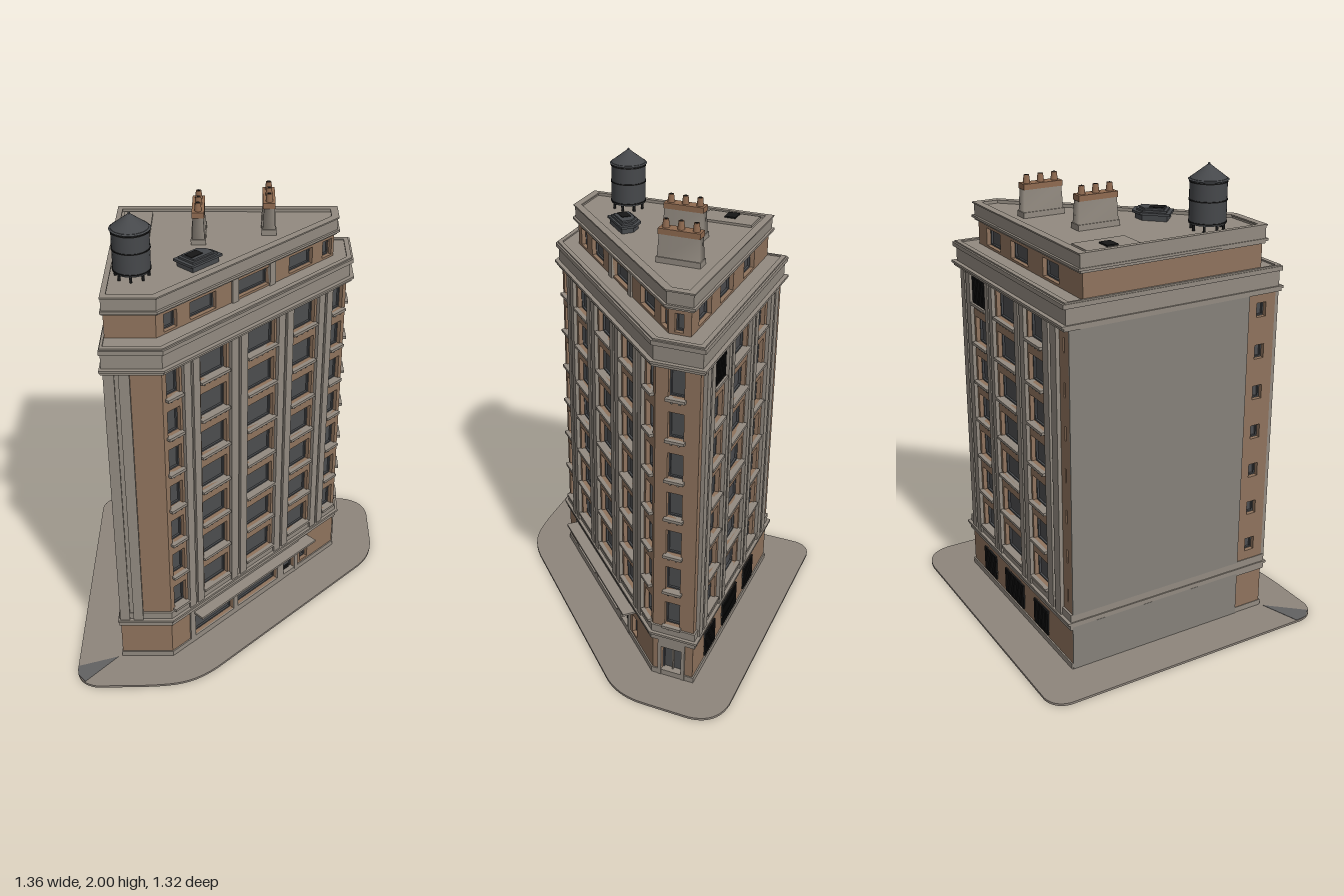
import * as THREE from 'three';

const mat = (name, color, side = THREE.FrontSide) => {
  const m = new THREE.MeshStandardMaterial({ color, side });
  m.name = name;
  return m;
};

export function createModel() {
  const M = {
    brick: mat('brick', 0x8f735d), stone: mat('stone', 0x928a80), render: mat('grey render', 0x85817a),
    paving: mat('paving', 0x8e857c), ramp: mat('ramp grey', 0x626262), glass: mat('glass', 0x4c4d4f),
    metal: mat('dark metal', 0x46484b), black: mat('black iron', 0x161616), clay: mat('clay', 0x8f6a50),
  };
  const model = new THREE.Group();
  model.name = 'cornerBuilding';

  const add = (parent, name, geo, m, x = 0, y = 0, z = 0) => {
    const mesh = new THREE.Mesh(geo, m);
    mesh.name = name;
    mesh.position.set(x, y, z);
    parent.add(mesh);
    return mesh;
  };
  const group = (parent, name) => {
    const g = new THREE.Group();
    g.name = name;
    parent.add(g);
    return g;
  };
  const box = (parent, name, m, x0, x1, y0, y1, z0, z1) =>
    add(parent, name, new THREE.BoxGeometry(x1 - x0, y1 - y0, z1 - z0), m,
      (x0 + x1) / 2, (y0 + y1) / 2, (z0 + z1) / 2);
  const rect = (C, u0, u1, y0, y1) => new C([[u0, y0], [u1, y0], [u1, y1], [u0, y1]].map(p => new THREE.Vector2(...p)));
  // Upright slab with rectangular openings, from depth z0 to z1
  const panel = (parent, name, m, [u0, u1, y0, y1], holes, z0, z1) => {
    const s = rect(THREE.Shape, u0, u1, y0, y1);
    s.holes = holes.map(h => rect(THREE.Path, ...h));
    return add(parent, name, new THREE.ExtrudeGeometry(s, { depth: z1 - z0, bevelEnabled: false }), m, 0, 0, z0);
  };
  // Horizontal slab from a plan outline (x, -z)
  const slab = (parent, name, m, shape, y0, y1) => {
    const geo = new THREE.ExtrudeGeometry(shape, { depth: y1 - y0, bevelEnabled: false, curveSegments: 10 });
    return add(parent, name, geo.rotateX(-Math.PI / 2), m, 0, y0, 0);
  };
  // Plan outline pushed outward by d; the party wall (last edge) barely moves outward
  const offset = (P, d) => new THREE.Shape(P.map((p, i) => {
    const n = P.length;
    const line = k => {
      const a = P[k % n], b = P[(k + 1) % n], l = Math.hypot(b[0] - a[0], b[1] - a[1]);
      const nx = (b[1] - a[1]) / l, ny = (a[0] - b[0]) / l;
      return [nx, ny, nx * a[0] + ny * a[1] + (k % n === n - 1 && d > 0 ? d * 0.4 : d)];
    };
    const [a, b, c] = line(i + n - 1), [e, f, g] = line(i), det = a * f - b * e;
    return new THREE.Vector2((c * f - b * g) / det, (a * g - c * e) / det);
  }));

  // Plans: front, diagonal, right, back and left edges in turn
  const MAIN = [[-0.49, -0.47], [-0.27, -0.47], [0.48, 0.29], [0.48, 0.47], [-0.49, 0.47]];
  const ATTIC = [[-0.485, -0.395], [-0.29, -0.395], [0.42, 0.315], [0.42, 0.405], [-0.485, 0.405]];
  const SIDES = ['front', 'diagonal', 'right', 'back', 'left'];
  const edge = (parent, P, i, name) => {
    const a = P[i], b = P[(i + 1) % 5], g = group(parent, name);
    g.position.set(a[0], 0, -a[1]);
    g.rotation.y = Math.atan2(b[1] - a[1], b[0] - a[0]);
    return [g, Math.hypot(b[0] - a[0], b[1] - a[1])];
  };
  const windowTrim = (g, [u0, u1, y0, y1], sill = true) => {
    const f = 0.006;
    panel(g, 'windowFrame', M.metal, [u0, u1, y0, y1], [[u0 + f, u1 - f, y0 + f, y1 - f]], -0.027, -0.018);
    if (!sill) return;
    box(g, 'windowSill', M.stone, u0 - 0.008, u1 + 0.008, y0 - 0.012, y0, -0.025, 0.018);
    const n = Math.max(2, Math.round((u1 - u0) / 0.03));
    for (let k = 0; k < n; k++) {
      const c = u0 + (u1 - u0) * (k + 0.5) / n;
      box(g, 'sillBracket', M.stone, c - 0.004, c + 0.004, y0 - 0.022, y0 - 0.012, 0, 0.011);
    }
  };
  const grille = (g, [u0, u1, y0, y1]) => {
    const n = Math.round((u1 - u0) / 0.014);
    for (let k = 0; k <= n; k++) {
      const c = u0 + (u1 - u0) * k / n;
      box(g, 'grilleBar', M.black, c - 0.003, c + 0.003, y0, y1, 0.002, 0.009);
    }
    for (const y of [y0, y1 - 0.006]) box(g, 'grilleRail', M.black, u0, u1, y, y + 0.006, 0.001, 0.008);
  };

  // Pavement with a dropped kerb
  const pave = new THREE.Shape();
  pave.moveTo(-0.68, -0.56);
  pave.quadraticCurveTo(-0.67, -0.64, -0.59, -0.655);
  pave.lineTo(-0.4, -0.652);
  pave.bezierCurveTo(-0.25, -0.645, -0.18, -0.64, -0.07, -0.54);
  pave.lineTo(0.6, 0.13);
  pave.quadraticCurveTo(0.675, 0.21, 0.678, 0.32);
  pave.lineTo(0.68, 0.53);
  pave.quadraticCurveTo(0.67, 0.65, 0.54, 0.66);
  pave.lineTo(-0.6, 0.66);
  pave.quadraticCurveTo(-0.67, 0.65, -0.68, 0.58);
  slab(model, 'pavement', M.paving, pave, 0, 0.01);
  const kerb = new THREE.Shape([[-0.679, -0.54], [-0.675, -0.59], [-0.64, -0.63], [-0.51, -0.483]].map(p => new THREE.Vector2(...p)));
  slab(model, 'droppedKerb', M.ramp, kerb, 0.01, 0.0115);

  // Openings [u0, u1] and pilasters along each main wall
  const dx = (a, b) => [(a + 0.27) * 1.424, (b + 0.27) * 1.424];
  const bx = (a, b) => [0.48 - b, 0.48 - a];
  const bays = [
    [],
    [dx(-0.255, -0.208), dx(-0.13, -0.03), dx(0.055, 0.165), dx(0.245, 0.338), dx(0.418, 0.465)],
    [[0.052, 0.117]],
    [bx(0.23, 0.345), bx(-0.05, 0.125), bx(-0.28, -0.16)],
    [],
  ];
  const pilasters = [
    [[0.001, 0.1]],
    [dx(-0.2, -0.142), dx(-0.02, 0.045), dx(0.173, 0.235), dx(0.347, 0.407)],
    [],
    [bx(0.36, 0.45), bx(0.14, 0.21), bx(-0.15, -0.065), bx(-0.42, -0.31)],
    [],
  ];
  const slits = [[], [], [], [[0.93, 0.955]], [[0.85, 0.895]]];
  const shop = [[...dx(-0.175, -0.005), 0.04, 0.155], [...dx(0.012, 0.2), 0.04, 0.155], [...dx(0.23, 0.285), 0.01, 0.155]];
  const ground = [
    [],
    [...shop, [...dx(0.315, 0.352), 0.045, 0.14]],
    [[0.04, 0.13, 0.01, 0.16]],
    bays[3].map(b => [...b, 0.05, 0.165]),
    [],
  ];

  // Main walls
  const walls = group(model, 'mainWalls');
  slab(walls, 'windowGlass', M.glass, offset(MAIN, -0.027), 0.01, 1.49);
  SIDES.forEach((side, i) => {
    const [g, L] = edge(walls, MAIN, i, side + 'Wall');
    const wins = [], small = [];
    for (let f = 0; f < 7; f++) {
      const y = 0.28 + f * 0.178;
      bays[i].forEach(b => wins.push([...b, y, y + 0.115]));
      slits[i].forEach(b => small.push([...b, y + 0.03, y + 0.09]));
    }
    panel(g, 'brickWall', M.brick, [0, L, 0.01, 1.49], [...wins, ...small, ...ground[i]], -0.03, 0);
    wins.forEach(w => windowTrim(g, w));
    small.forEach(w => windowTrim(g, w, false));
    ground[i].forEach(w => windowTrim(g, w, false));
    // Paired pilaster shafts on a shared backing
    pilasters[i].forEach(([a, b]) => {
      const w = (b - a) * 0.42;
      box(g, 'pilasterBacking', M.stone, a, b, 0.23, 1.48, -0.002, 0.006);
      box(g, 'pilasterShaft', M.stone, a, a + w, 0.23, 1.48, 0, 0.016);
      box(g, 'pilasterShaft', M.stone, b - w, b, 0.23, 1.48, 0, 0.016);
    });
    if (side === 'diagonal') {
      const [s0, s1] = dx(-0.195, 0.3), [d0, d1] = shop[2];
      panel(g, 'shopFront', M.stone, [s0, s1, 0.01, 0.2], shop, 0, 0.007);
      box(g, 'canopy', M.stone, ...dx(-0.18, 0.345), 0.174, 0.184, 0, 0.06);
      box(g, 'shopDoorPanel', M.black, d0 + 0.015, d1 - 0.015, 0.01, 0.05, -0.024, -0.016);
      box(g, 'shopDoorRail', M.stone, d0, d1, 0.125, 0.132, -0.025, -0.012);
    }
    if (side === 'right') {
      panel(g, 'doorSurround', M.stone, [0.025, 0.145, 0.01, 0.2], ground[i], 0, 0.008);
      box(g, 'doorMullion', M.stone, 0.082, 0.088, 0.01, 0.16, -0.026, -0.014);
    }
    if (side === 'back') {
      ground[i].forEach(w => grille(g, w));
      grille(g, [...bays[3][0], 1.348, 1.463]);
    }
    if (side === 'left') {
      box(g, 'blankPartyWall', M.render, 0, 0.81, 0.265, 1.49, -0.002, 0.005);
      box(g, 'partyWallBase', M.render, 0, 0.81, 0.01, 0.21, -0.002, 0.005);
    }
  });

  // Horizontal stone courses: [outline, offset, y0, y1]
  const bands = group(model, 'stoneCourses');
  [[MAIN, 0.006, 0.01, 0.035], [MAIN, 0.012, 0.198, 0.224], [MAIN, 0.022, 0.224, 0.234], [MAIN, 0.008, 0.234, 0.268],
    [MAIN, 0.022, 1.475, 1.487], [MAIN, 0.03, 1.487, 1.497], [MAIN, 0.012, 1.497, 1.56], [MAIN, 0.024, 1.56, 1.578],
    [ATTIC, 0.012, 1.68, 1.69], [ATTIC, 0.022, 1.69, 1.7], [ATTIC, 0.012, 1.7, 1.742],
  ].forEach(([P, d, a, b]) => slab(bands, 'stoneCourse', M.stone, offset(P, d), a, b));
  const rim = (name, P, d, w, a, b) => {
    const s = offset(P, d);
    s.holes = [offset(P, d - w)];
    slab(bands, name, M.stone, s, a, b);
  };
  rim('terraceKerb', MAIN, 0.016, 0.02, 1.578, 1.584);
  rim('parapet', ATTIC, 0.012, 0.022, 1.742, 1.75);
  rim('parapetCoping', ATTIC, 0.018, 0.032, 1.75, 1.756);

  // Set-back attic storey
  const attic = group(model, 'atticStorey');
  slab(attic, 'atticGlass', M.glass, offset(ATTIC, -0.027), 1.57, 1.69);
  const ax = (a, b) => [(a + 0.29) * 1.414, (b + 0.29) * 1.414];
  const cx = (a, b) => [0.42 - b, 0.42 - a];
  const atticBays = [[],
    [ax(-0.262, -0.215), ax(-0.167, -0.07), ax(0.013, 0.14), ax(0.225, 0.325), ax(0.37, 0.41)],
    [[0.025, 0.065]], [cx(0.21, 0.34), cx(-0.04, 0.11), cx(-0.3, -0.17)], []];
  SIDES.forEach((side, i) => {
    const [g, L] = edge(attic, ATTIC, i, side + 'AtticWall');
    const wins = atticBays[i].map(b => [...b, 1.588, 1.662]);
    panel(g, 'atticBrick', M.brick, [0, L, 1.57, 1.69], wins, -0.03, 0);
    wins.forEach(w => windowTrim(g, w, false));
    if (side === 'diagonal') for (const u of [ax(-0.01, 0.013), ax(0.14, 0.163)])
      box(g, 'atticPier', M.stone, ...u, 1.57, 1.69, -0.005, 0.008);
  });

  // Chimney stacks with flared feet and clay pots
  for (const [x, z] of [[-0.143, -0.157], [0.141, -0.25]]) {
    const c = group(model, 'chimney');
    c.position.set(x, 1.74, z);
    box(c, 'chimneyFoot', M.stone, -0.03, 0.03, 0, 0.025, -0.092, 0.092);
    const stack = add(c, 'chimneyStack', new THREE.CylinderGeometry(0.7071, 0.7071, 1, 4).rotateY(Math.PI / 4), M.stone, 0, 0.07, 0);
    const p = stack.geometry.attributes.position;
    for (let k = 0; k < p.count; k++) {
      const t = p.getY(k) > 0 ? 0.8 : 1;
      p.setXYZ(k, p.getX(k) * 0.052 * t, p.getY(k) * 0.1, p.getZ(k) * 0.176 * (t * 0.3 + 0.7));
    }
    stack.geometry.computeVertexNormals();
    box(c, 'chimneyCap', M.clay, -0.025, 0.025, 0.115, 0.138, -0.086, 0.086);
    for (const k of [-1, 0, 1]) {
      add(c, 'chimneyPot', new THREE.CylinderGeometry(0.011, 0.015, 0.034, 12), M.clay, 0, 0.154, k * 0.062);
      add(c, 'potMouth', new THREE.CylinderGeometry(0.007, 0.007, 0.002, 12), M.black, 0, 0.171, k * 0.062);
    }
  }

  // Water tank on short legs
  const tank = group(model, 'waterTank');
  tank.position.set(-0.387, 0, 0.2);
  add(tank, 'tankBarrel', new THREE.CylinderGeometry(0.073, 0.073, 0.175, 32), M.metal, 0, 1.855, 0);
  add(tank, 'tankRoof', new THREE.ConeGeometry(0.079, 0.06, 32), M.metal, 0, 1.967, 0);
  add(tank, 'tankFinial', new THREE.SphereGeometry(0.005, 8, 6), M.metal, 0, 1.995, 0);
  for (const y of [1.775, 1.86, 1.93])
    add(tank, 'tankBand', new THREE.CylinderGeometry(0.0755, 0.0755, 0.005, 32), M.black, 0, y, 0);
  for (let k = 0; k < 8; k++) {
    const a = k * Math.PI / 4;
    add(tank, 'tankLeg', new THREE.CylinderGeometry(0.006, 0.006, 0.04, 6), M.black, 0.064 * Math.cos(a), 1.76, 0.064 * Math.sin(a));
  }

  // Low skylight housing with one cut corner
  const light = [[-0.235, -0.125], [-0.16, -0.195], [-0.045, -0.08], [-0.09, -0.04], [-0.15, -0.04]];
  const scaled = f => new THREE.Shape(light.map(([x, s]) => new THREE.Vector2(-0.14 + (x + 0.14) * f, -0.11 + (s + 0.11) * f)));
  const sky = group(model, 'skylight');
  [[0.85, 1.74, 1.765], [1, 1.765, 1.775], [0.8, 1.775, 1.783], [0.65, 1.783, 1.79]]
    .forEach(([f, a, b]) => slab(sky, 'skylightTier', M.metal, scaled(f), a, b));
  const pane = box(sky, 'skylightPane', M.black, -0.03, 0.03, -0.001, 0.002, -0.02, 0.02);
  pane.position.set(-0.155, 1.791, 0.118);
  pane.rotation.y = Math.PI / 4;

  // Flat roof hatch
  const hatch = group(model, 'roofHatch');
  box(hatch, 'hatchSlab', M.stone, -0.462, -0.342, 1.735, 1.752, -0.372, -0.147);
  box(hatch, 'hatchLid', M.black, -0.452, -0.392, 1.752, 1.758, -0.285, -0.237);
  return model;
}
